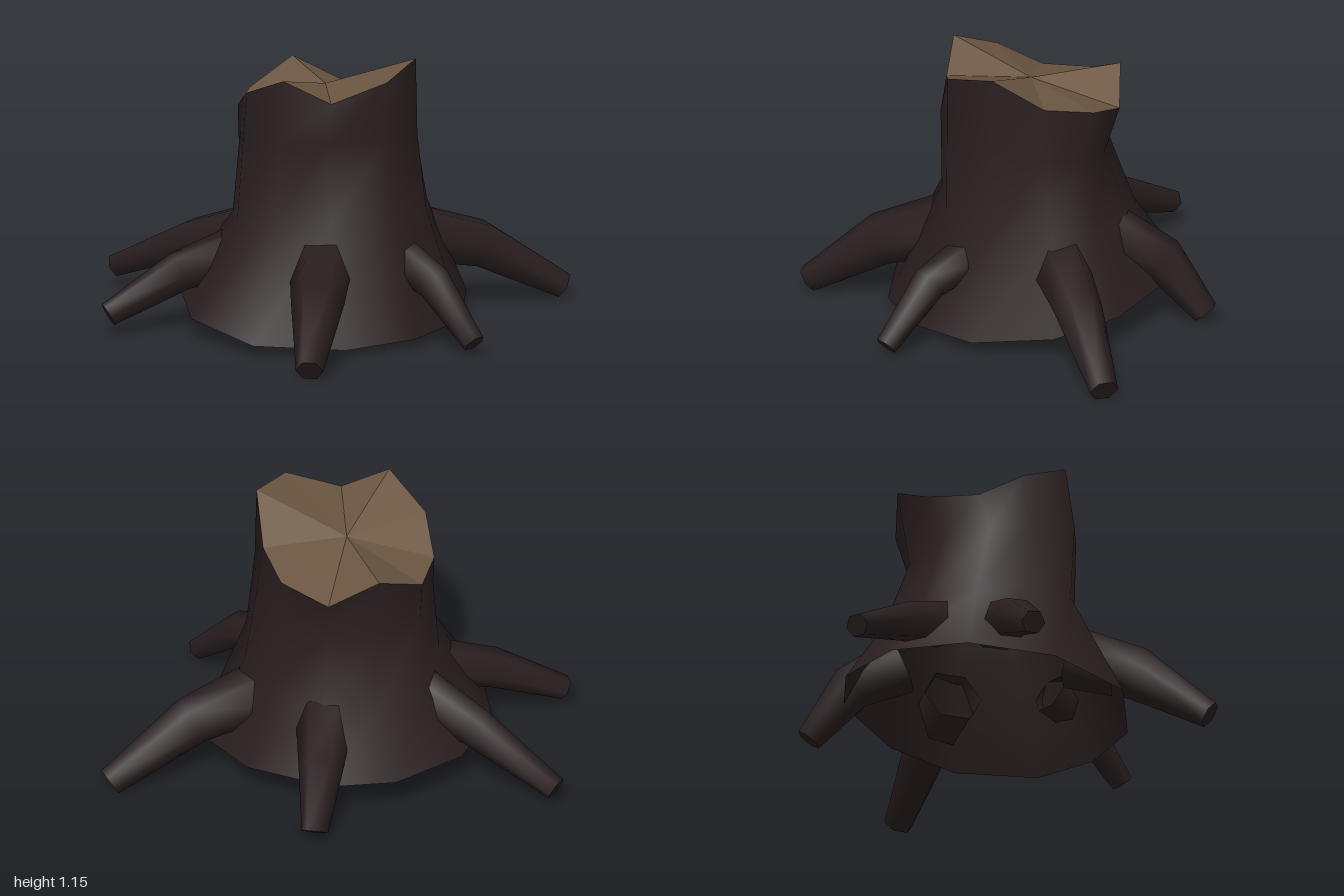
import * as THREE from 'three';

const bark = new THREE.MeshStandardMaterial({ color: 0x291e1f, side: THREE.DoubleSide });
bark.name = 'bark';
const cutWood = new THREE.MeshStandardMaterial({ color: 0x6c5742, side: THREE.DoubleSide });
cutWood.name = 'cut wood';

function geometryFrom(points, index) {
  const g = new THREE.BufferGeometry().setFromPoints(points);
  g.setIndex(index);
  return g;
}

// Smooth skin through a stack of equal closed rings
function loft(rings) {
  const n = rings[0].length, index = [];
  for (let r = 0; r < rings.length - 1; r++) {
    for (let i = 0; i < n; i++) {
      const a = r * n + i, b = r * n + (i + 1) % n;
      index.push(a, a + n, b, b, a + n, b + n);
    }
  }
  const g = geometryFrom(rings.flat(), index);
  g.computeVertexNormals();
  return g;
}

// Faceted cap from a centre to a ring
function fan(center, ring) {
  const n = ring.length, index = [];
  for (let i = 0; i < n; i++) index.push(0, 1 + (i + 1) % n, 1 + i);
  const g = geometryFrom([center, ...ring], index).toNonIndexed();
  g.computeVertexNormals();
  return g;
}

function part(name, geometry, material) {
  const m = new THREE.Mesh(geometry, material);
  m.name = name;
  return m;
}

// Jagged rim of the stump: x, y, z
const RIM = [
  [-0.07, 1.03, -0.42], [0.13, 0.92, -0.36], [0.28, 0.98, -0.21], [0.28, 1.015, 0],
  [0.23, 1.15, 0.21], [0.05, 1.1, 0.35], [-0.17, 1.015, 0.29], [-0.35, 1.11, 0.21],
  [-0.43, 1.015, 0], [-0.4, 0.915, -0.18], [-0.28, 0.93, -0.36],
];
// Outlines below the rim: x, z
const NECK = [
  [-0.075, -0.37], [0.12, -0.3], [0.27, -0.16], [0.3, 0.02], [0.235, 0.215], [0.05, 0.35],
  [-0.19, 0.31], [-0.39, 0.235], [-0.455, 0.02], [-0.41, -0.14], [-0.29, -0.31],
];
const WAIST = [
  [-0.05, -0.47], [0.155, -0.385], [0.325, -0.215], [0.362, -0.01], [0.28, 0.195], [0.08, 0.36],
  [-0.17, 0.31], [-0.385, 0.22], [-0.47, 0], [-0.415, -0.195], [-0.285, -0.385],
];
const FOOT = [
  [-0.06, -0.64], [0.2, -0.56], [0.45, -0.27], [0.52, 0.03], [0.38, 0.34], [0.12, 0.49],
  [-0.2, 0.53], [-0.55, 0.39], [-0.69, 0.05], [-0.61, -0.3], [-0.38, -0.55],
];

// Outline placed on a plane that tilts along z
const tilted = (outline, y, tilt) => outline.map(([x, z]) => new THREE.Vector3(x, y + tilt * z, z));

// Roots: centre and radius at the start, the bend and the tip
const ROOTS = [
  ['leftRoot', [0.31, 0.34, -0.05, 0.125], [0.61, 0.262, -0.05, 0.103], [0.97, 0.05, -0.06, 0.06]],
  ['rightRoot', [-0.38, 0.34, -0.1, 0.105], [-0.68, 0.25, -0.12, 0.083], [-0.98, 0.09, -0.145, 0.05]],
  ['frontRightRoot', [-0.21, 0.335, 0.28, 0.13], [-0.32, 0.25, 0.53, 0.11], [-0.457, 0.045, 0.797, 0.057]],
  ['frontLeftRoot', [0.14, 0.33, 0.31, 0.085], [0.21, 0.27, 0.47, 0.075], [0.307, 0.055, 0.68, 0.047]],
  ['backLeftRoot', [0.135, 0.36, -0.33, 0.12], [0.22, 0.265, -0.52, 0.095], [0.307, 0.045, -0.675, 0.055]],
  ['backRightRoot', [-0.29, 0.36, -0.3, 0.1], [-0.46, 0.268, -0.52, 0.085], [-0.695, 0.1, -0.81, 0.05]],
];

function makeRoot([name, ...stations]) {
  const centers = stations.map(([x, y, z]) => new THREE.Vector3(x, y, z));
  const up = new THREE.Vector3(0, 1, 0);
  const rings = centers.map((c, k) => {
    const from = centers[Math.max(k - 1, 0)], to = centers[Math.min(k + 1, 2)];
    const along = to.clone().sub(from).normalize();
    const side = along.clone().cross(up).normalize();
    const rise = side.clone().cross(along);
    return Array.from({ length: 6 }, (_, i) => {
      const a = i * Math.PI / 3, r = stations[k][3];
      return c.clone().addScaledVector(side, r * Math.cos(a)).addScaledVector(rise, r * Math.sin(a));
    });
  });
  const root = new THREE.Group();
  root.name = name;
  root.add(part('rootSkin', loft(rings), bark), part('rootTip', fan(centers[2], rings[2]), bark));
  return root;
}

export function createModel() {
  const model = new THREE.Group();
  model.name = 'treeStump';

  // Hollow trunk, open underneath
  const rim = RIM.map((p) => new THREE.Vector3(...p));
  const trunk = loft([
    tilted(FOOT, 0.1, -0.12),
    tilted(WAIST, 0.49, 0.12),
    tilted(NECK, 0.79, 0.2),
    rim,
  ]);
  model.add(part('trunk', trunk, bark));

  // Broken wood on top
  model.add(part('cutTop', fan(new THREE.Vector3(-0.07, 1.01, -0.04), rim), cutWood));

  // Spreading roots
  ROOTS.forEach((r) => model.add(makeRoot(r)));
  return model;
}
